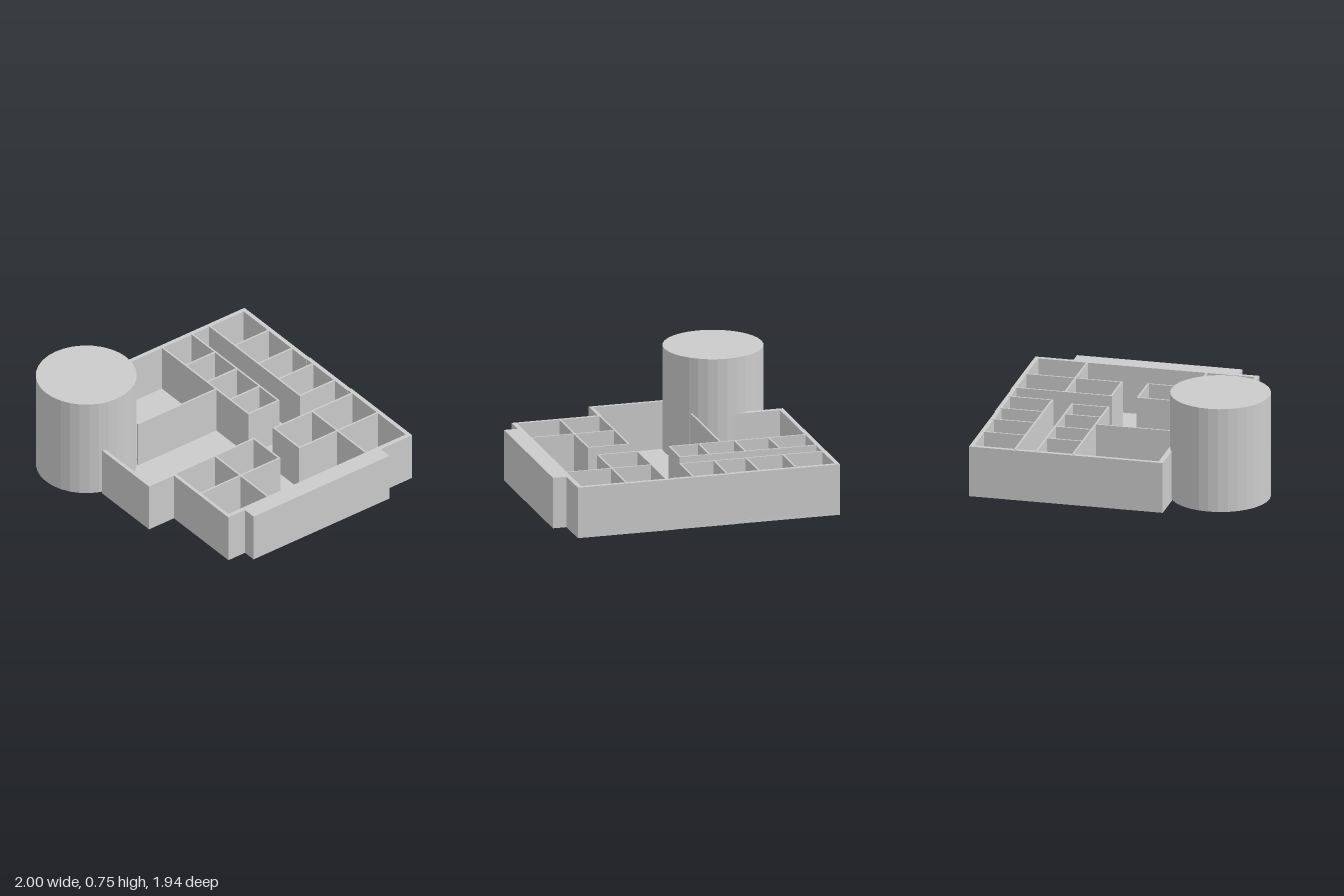
import * as THREE from 'three';

const H = 0.355; // wall height
const FLOOR = 0.02;

export function createModel() {
  const model = new THREE.Group();
  model.name = 'floorPlan';
  const mat = new THREE.MeshStandardMaterial({ color: 0xcccccc, flatShading: true });

  const add = (parent, name, geometry) => {
    const mesh = new THREE.Mesh(geometry, mat);
    mesh.name = name;
    parent.add(mesh);
    return mesh;
  };
  // Box from its plan rectangle and height range
  const block = (parent, name, x0, x1, z0, z1, y1 = H, y0 = 0) =>
    add(parent, name, new THREE.BoxGeometry(x1 - x0, y1 - y0, z1 - z0))
      .position.set((x0 + x1) / 2, (y0 + y1) / 2, (z0 + z1) / 2);

  // Stepped floor slab
  const outline = [
    [-0.36, -0.97], [-0.36, -0.39], [-0.55, -0.39], [-0.55, -0.25], [-0.77, -0.25],
    [-0.77, 0.27], [-0.56, 0.27], [-0.56, 0.875], [0.99, 0.875], [0.985, -0.97],
  ];
  const shape = new THREE.Shape(outline.map(([x, z]) => new THREE.Vector2(x, -z)));
  const slab = new THREE.ExtrudeGeometry(shape, { depth: FLOOR, bevelEnabled: false });
  slab.rotateX(-Math.PI / 2);
  add(model, 'floor', slab);

  // Outer walls
  const outer = new THREE.Group();
  outer.name = 'outerWalls';
  model.add(outer);
  [
    ['backWall', -0.36, 0.985, -0.97, -0.94],
    ['backRoomSideWall', -0.36, -0.325, -0.97, -0.56],
    ['sideRoomWall', -0.77, -0.745, -0.25, 0.27],
    ['sideRoomFrontWall', -0.77, -0.535, 0.245, 0.27],
    ['frontRoomSideWall', -0.56, -0.535, 0.245, 0.875],
    ['frontWall', -0.56, 0.995, 0.842, 0.875],
    ['longWallBack', 0.955, 0.985, -0.97, -0.25],
    ['longWallMiddle', 0.96, 0.99, -0.25, 0.2],
    ['longWallFront', 0.965, 0.995, 0.2, 0.875],
  ].forEach((w) => block(outer, ...w));

  // Solid ledge along the front
  block(model, 'frontLedge', -0.42, 0.73, 0.875, 0.97);

  // Thin partitions, running along x or z at a centre line
  const inner = new THREE.Group();
  inner.name = 'partitions';
  model.add(inner);
  const T = 0.0065;
  const alongX = (z, x0, x1, h = H) => block(inner, 'partition', x0, x1, z - T, z + T, h, 0.01);
  const alongZ = (x, z0, z1, h = H) => block(inner, 'partition', x - T, x + T, z0, z1, h, 0.01);

  // Hall divider
  alongX(-0.342, -0.4, 0.27, 0.36);

  // Middle row of cells
  alongZ(0.268, -0.95, 0.02, 0.358);
  alongZ(0.52, -0.95, 0.02, 0.358);
  for (const z of [-0.685, -0.445, -0.192, 0.0135]) alongX(z, 0.27, 0.52, 0.358);

  // Row of cells against the long wall
  alongZ(0.67, -0.95, 0.065, 0.358);
  for (const z of [-0.665, -0.405, -0.18, 0.0585]) alongX(z, 0.67, 0.97, 0.358);

  // Front rooms on the +x side
  alongX(0.246, 0.3, 0.97);
  alongX(0.527, 0.3, 0.97);
  alongZ(0.307, 0.24, 0.533);
  alongZ(0.628, 0.24, 0.85);

  // Front rooms on the -x side
  alongX(0.257, -0.54, 0.133);
  alongX(0.54, -0.54, 0.133);
  alongZ(0.126, 0.251, 0.546);
  alongZ(-0.202, 0.251, 0.85);

  // Round tower
  add(model, 'tower', new THREE.CylinderGeometry(0.34, 0.34, 0.735, 32))
    .position.set(-0.66, 0.3825, -0.57);

  return model;
}
